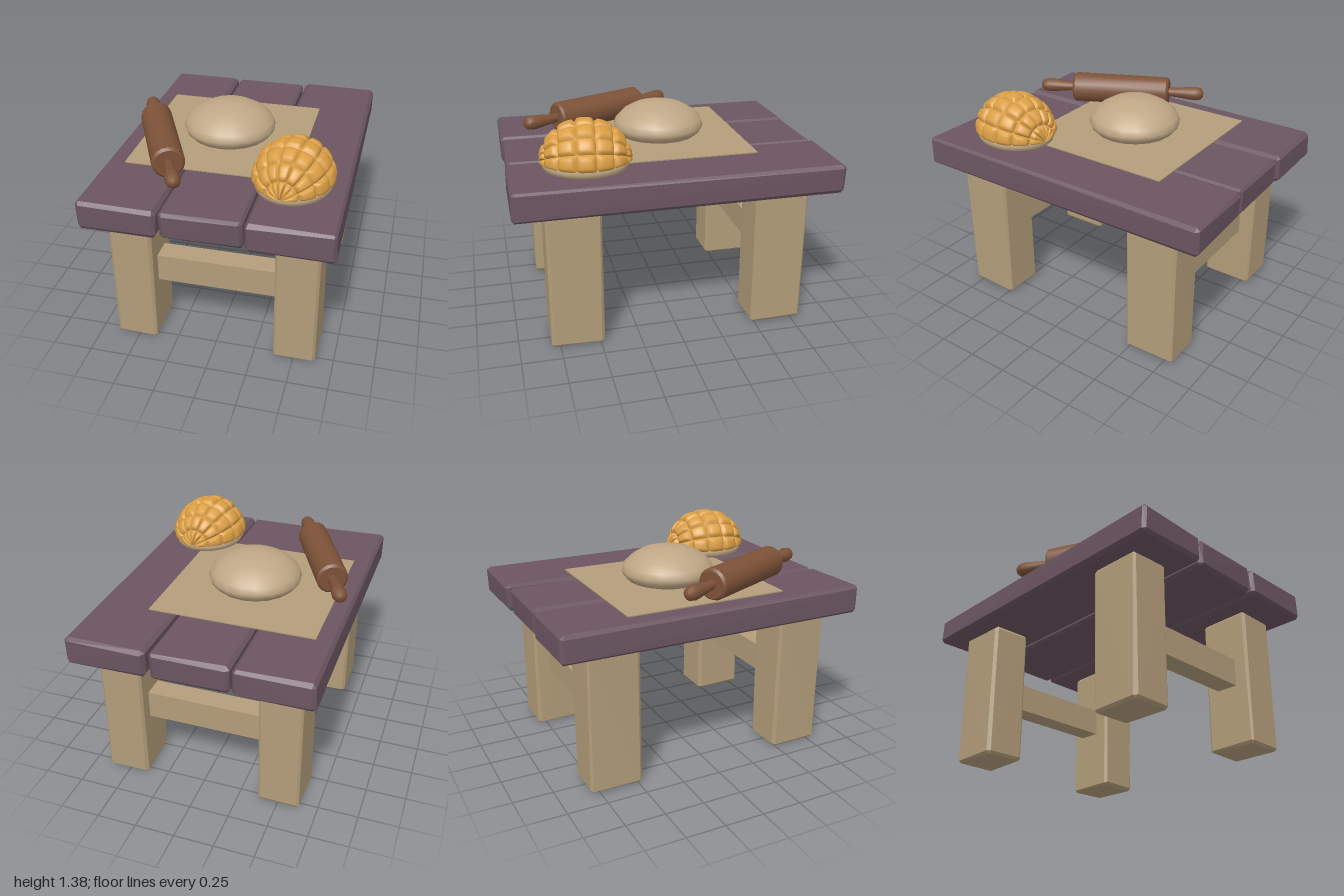
import * as THREE from 'three';
import { mergeGeometries, toCreasedNormals } from 'three/addons/utils/BufferGeometryUtils.js';
import { ConvexGeometry } from 'three/addons/geometries/ConvexGeometry.js';

const material = (name, color) => Object.assign(new THREE.MeshStandardMaterial({ color }), { name });

// Small seeded generator for the hand-hewn edges
let seed = 7;
const random = () => (seed = (seed * 16807) % 2147483647) / 2147483647;

// Bevelled block between two corners, its corners nudged inward unevenly
function hewnBlock(min, max, bevel, wobble) {
  const points = [];
  for (let corner = 0; corner < 8; corner++) {
    const high = [corner & 1, corner & 2, corner & 4];
    const nudge = high.map(() => random() * wobble);
    for (let face = 0; face < 3; face++) {
      const p = high.map((h, axis) => {
        const inset = nudge[axis] + (axis === face ? 0 : bevel * (0.6 + 0.6 * random()));
        return h ? max[axis] - inset : min[axis] + inset;
      });
      points.push(new THREE.Vector3(...p));
    }
  }
  return new ConvexGeometry(points);
}

const lathe = (profile, sides) =>
  new THREE.LatheGeometry(profile.map(([r, y]) => new THREE.Vector2(r, y)), sides);

// One pillow-shaped crust tile on a half dome whose poles lie along z
function crustTile(i, j, columns, rows) {
  const tile = new THREE.PlaneGeometry(2, 2, 8, 8);
  const pos = tile.attributes.position;
  for (let k = 0; k < pos.count; k++) {
    const s = pos.getX(k), t = pos.getY(k);
    const a = ((i + (s + 1) / 2) / columns) * Math.PI;
    const b = ((j + (t + 1) / 2) / rows - 0.5) * Math.PI;
    const r = 0.92 + 0.085 * Math.sqrt((1 - s ** 4) * (1 - t ** 4));
    pos.setXYZ(k, 0.245 * r * Math.cos(a) * Math.cos(b),
      0.25 * r * Math.sin(a) * Math.cos(b), 0.275 * r * Math.sin(b));
  }
  tile.computeVertexNormals();
  return tile;
}

export function createModel() {
  const group = new THREE.Group();
  group.name = 'bakingTable';
  const plum = material('plumWood', 0x6b5561);
  const pale = material('paleWood', 0xb39d7a);
  const cloth = material('cloth', 0xb39d7a);
  const brown = material('brownWood', 0x7d5238);
  const doughMat = material('dough', 0xbfa785);
  const crustMat = material('crust', 0xdb9f45);

  const add = (name, geometry, mat, parent = group) => {
    const mesh = new THREE.Mesh(geometry, mat);
    mesh.name = name;
    parent.add(mesh);
    return mesh;
  };

  // Table top
  [[-0.75, -0.268, 1.083, 0.995], [-0.265, 0.23, 1.078, 0.985], [0.233, 0.745, 1.085, 1]]
    .forEach(([x0, x1, top, z], i) =>
      add('plank' + (i + 1), hewnBlock([x0, 0.897, -z], [x1, top, z], 0.022, 0.01), plum));

  // Legs and the stretcher joining each pair
  for (const end of [-1, 1]) {
    const z = 0.64 * end;
    for (const side of [-1, 1]) {
      const x = 0.507 * side;
      add((end > 0 ? 'front' : 'back') + (side > 0 ? 'Left' : 'Right') + 'Leg',
        hewnBlock([x - 0.137, 0, z - 0.17], [x + 0.137, 0.905, z + 0.17], 0.018, 0.008), pale);
    }
    add(end > 0 ? 'frontStretcher' : 'backStretcher',
      new THREE.BoxGeometry(0.84, 0.18, 0.14), pale).position.set(0, 0.49, z);
  }

  // Cloth and dough
  add('cloth', new THREE.BoxGeometry(1.04, 0.007, 1.04), cloth).position.set(-0.11, 1.084, -0.03);
  add('dough', lathe([[0, 1.083], [0.2, 1.083], [0.255, 1.1], [0.285, 1.13], [0.295, 1.16],
    [0.28, 1.2], [0.235, 1.245], [0.165, 1.285], [0.085, 1.306], [0, 1.312]], 20), doughMat)
    .position.set(-0.1, 0, -0.035);

  // Rolling pin: barrel with a knobbed handle at each end
  const pin = new THREE.Group();
  pin.name = 'rollingPin';
  pin.position.set(-0.447, 1.18, 0.31);
  pin.rotation.y = 0.44;
  group.add(pin);
  add('barrel', toCreasedNormals(lathe([[0, -0.335], [0.085, -0.335], [0.1, -0.32],
    [0.1, 0.32], [0.085, 0.335], [0, 0.335]], 18).rotateX(Math.PI / 2), 0.6), brown, pin);
  for (const end of [-1, 1]) {
    const handle = lathe([[0.03, 0.32], [0.032, 0.38], [0.043, 0.47], [0.047, 0.52],
      [0.04, 0.555], [0.022, 0.572], [0, 0.575]], 12);
    add('handle', handle.rotateX(end * Math.PI / 2), brown, pin);
  }

  // Round loaf with a crust scored into tiles
  const loaf = new THREE.Group();
  loaf.name = 'loaf';
  loaf.position.set(0.423, 1.133, 0.527);
  loaf.rotation.y = -0.12;
  group.add(loaf);
  add('loafBase', lathe([[0, -0.05], [0.2, -0.05], [0.222, -0.038], [0.23, -0.015],
    [0.228, 0.008], [0, 0.012]], 28).scale(1, 1, 1.13), doughMat, loaf);
  const tiles = [];
  for (let i = 0; i < 7; i++) for (let j = 0; j < 7; j++) tiles.push(crustTile(i, j, 7, 7));
  add('crust', mergeGeometries(tiles), crustMat, loaf);

  return group;
}
